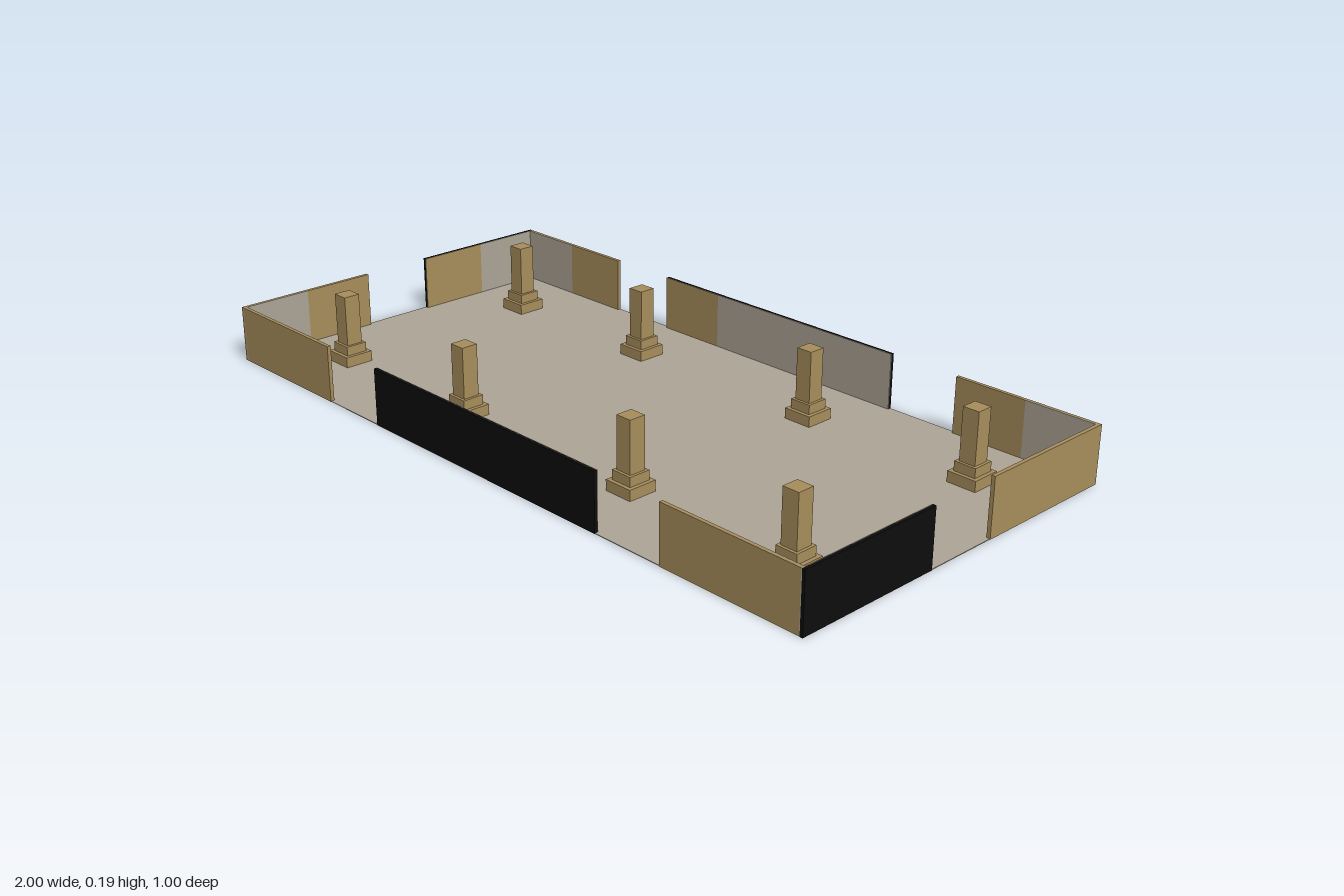
import * as THREE from 'three';

const paint = (name, color) => {
  const m = new THREE.MeshStandardMaterial({ color });
  m.name = name;
  return m;
};

export function createModel() {
  const sand = paint('sandstone', 0xa88d5c);
  const stone = paint('grey stone', 0xaca496);
  const black = paint('black', 0x0d0d0d);

  const H = 0.15, T = 0.008, LINING = 0.002;

  const box = (name, mat, size, pos) => {
    const mesh = new THREE.Mesh(new THREE.BoxGeometry(...size), mat);
    mesh.name = name;
    mesh.position.set(...pos);
    return mesh;
  };

  // A wall along local x from a to b, outside facing -z at z = 0;
  // the inside is lined in sandstone and grey stone, meeting at s
  const wall = (name, outer, a, b, s, greyFirst) => {
    const g = new THREE.Group();
    g.name = name;
    g.add(box('wallPanel', outer, [b - a, H, T], [(a + b) / 2, H / 2, T / 2]));
    const halves = [[a, s, greyFirst ? stone : sand], [s, b, greyFirst ? sand : stone]];
    for (const [p, q, mat] of halves) {
      g.add(box('wallLining', mat, [q - p, H, LINING], [(p + q) / 2, H / 2, T + LINING / 2]));
    }
    return g;
  };

  // Back wall and one end wall; the other two are the same turned half round
  const halfWalls = () => {
    const half = new THREE.Group();
    half.name = 'backAndEndWalls';

    const back = new THREE.Group();
    back.name = 'longWall';
    back.add(
      wall('cornerWall', sand, -0.99, -0.6, -0.8, true),
      wall('middleWall', black, -0.4, 0.4, -0.2, false),
      wall('cornerWall', sand, 0.6, 0.99, 0.8, false)
    );
    back.position.z = -0.5;

    const end = new THREE.Group();
    end.name = 'endWall';
    end.add(
      wall('sandEndWall', sand, -0.5, -0.1, -0.3, true),
      wall('blackEndWall', black, 0.1, 0.5, 0.3, false)
    );
    end.position.x = -1;
    end.rotation.y = Math.PI / 2; // local x runs towards -z, inside faces +x

    half.add(back, end);
    return half;
  };

  // Square pillar on a two-step base
  const pillar = (x, z) => {
    const g = new THREE.Group();
    g.name = 'pillar';
    const tiers = [
      ['lowerStep', 0.08, 0, 0.03],
      ['upperStep', 0.06, 0.03, 0.055],
      ['shaft', 0.045, 0.055, 0.19]
    ];
    for (const [name, w, y0, y1] of tiers) {
      g.add(box(name, sand, [w, y1 - y0, w], [0, (y0 + y1) / 2, 0]));
    }
    g.position.set(x, 0, z);
    return g;
  };

  const model = new THREE.Group();
  model.name = 'pillaredCourt';

  // Floor slab, just inside the wall faces
  model.add(box('floor', stone, [1.998, 0.002, 0.998], [0, 0.001, 0]));

  const near = halfWalls();
  near.name = 'frontAndEndWalls';
  near.rotation.y = Math.PI;
  model.add(halfWalls(), near);

  for (const x of [-0.8, -0.3, 0.3, 0.8]) {
    for (const z of [-0.3, 0.3]) model.add(pillar(x, z));
  }
  return model;
}
